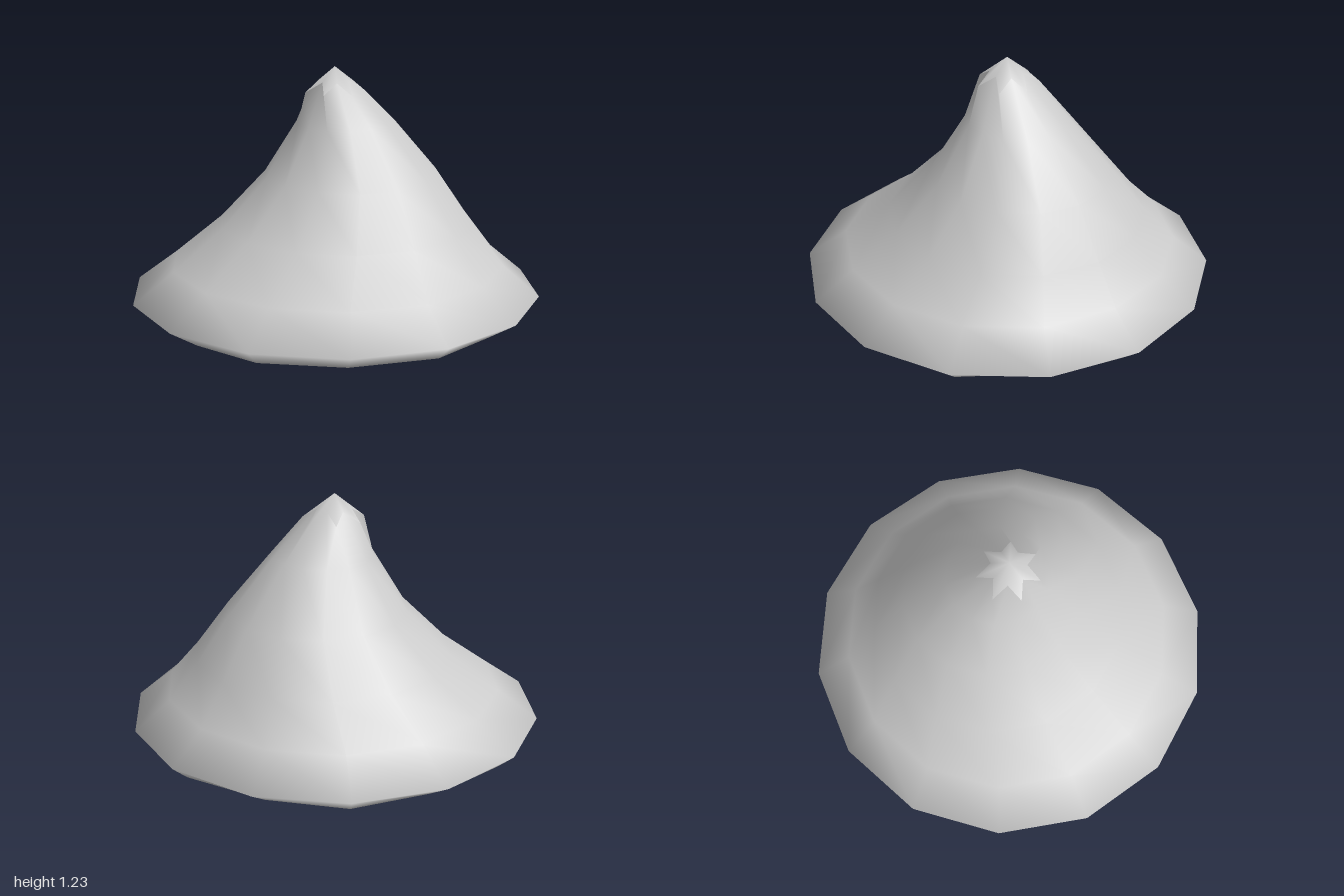
import * as THREE from 'three';
import { mergeVertices } from 'three/addons/utils/BufferGeometryUtils.js';

const SIDES = 14;

// Each ring: [even radius, odd radius, even height, odd height, centre x]
const apex = [0, 0, 1.23, 1.23, 0];
const star = [0.15, 0.085, 1.11, 1.16, 0.005];
const lip = [0.92, 0.85, 0.06, 0.035, 0];
const base = [0, 0, 0, 0, 0];
const ring = (r, y, cx) => [r, r, y, y, cx];

// Skin a stack of rings from top to bottom, closing to a fan where a radius is 0
function loft(name, rings, flat = false) {
  const pos = [], idx = [];
  rings.forEach(([r0, r1, y0, y1, cx]) => {
    for (let j = 0; j < SIDES; j++) {
      const a = (j / SIDES) * Math.PI * 2, odd = j % 2;
      const r = odd ? r1 : r0;
      pos.push(cx + r * Math.cos(a), odd ? y1 : y0, r * Math.sin(a));
    }
  });
  for (let i = 0; i < rings.length - 1; i++) {
    for (let j = 0; j < SIDES; j++) {
      const k = (j + 1) % SIDES;
      const a = i * SIDES + j, b = i * SIDES + k, c = a + SIDES, d = b + SIDES;
      if (rings[i][0] > 0) idx.push(a, b, c);
      if (rings[i + 1][0] > 0) idx.push(b, d, c);
    }
  }
  let geo = new THREE.BufferGeometry();
  geo.setAttribute('position', new THREE.Float32BufferAttribute(pos, 3));
  geo.setIndex(idx);
  geo = mergeVertices(geo);
  geo.computeVertexNormals();
  const mesh = new THREE.Mesh(geo, new THREE.MeshStandardMaterial({ color: 0xcccccc, flatShading: flat }));
  mesh.name = name;
  return mesh;
}

export function createModel() {
  const group = new THREE.Group();
  group.name = 'leaningMound';

  // Rounded peak with a star-shaped lower edge
  group.add(loft('peak', [apex, star]));

  // Flared slope that leans to +x at mid height, then tucks under the rim
  group.add(loft('slope', [
    star,
    ring(0.245, 0.95, 0.075),
    ring(0.435, 0.69, 0.115),
    ring(0.625, 0.46, 0.075),
    ring(0.815, 0.275, 0.015),
    ring(1, 0.13, 0),
    lip,
  ]));

  // Very shallow underside
  group.add(loft('underside', [lip, base], true));
  return group;
}
